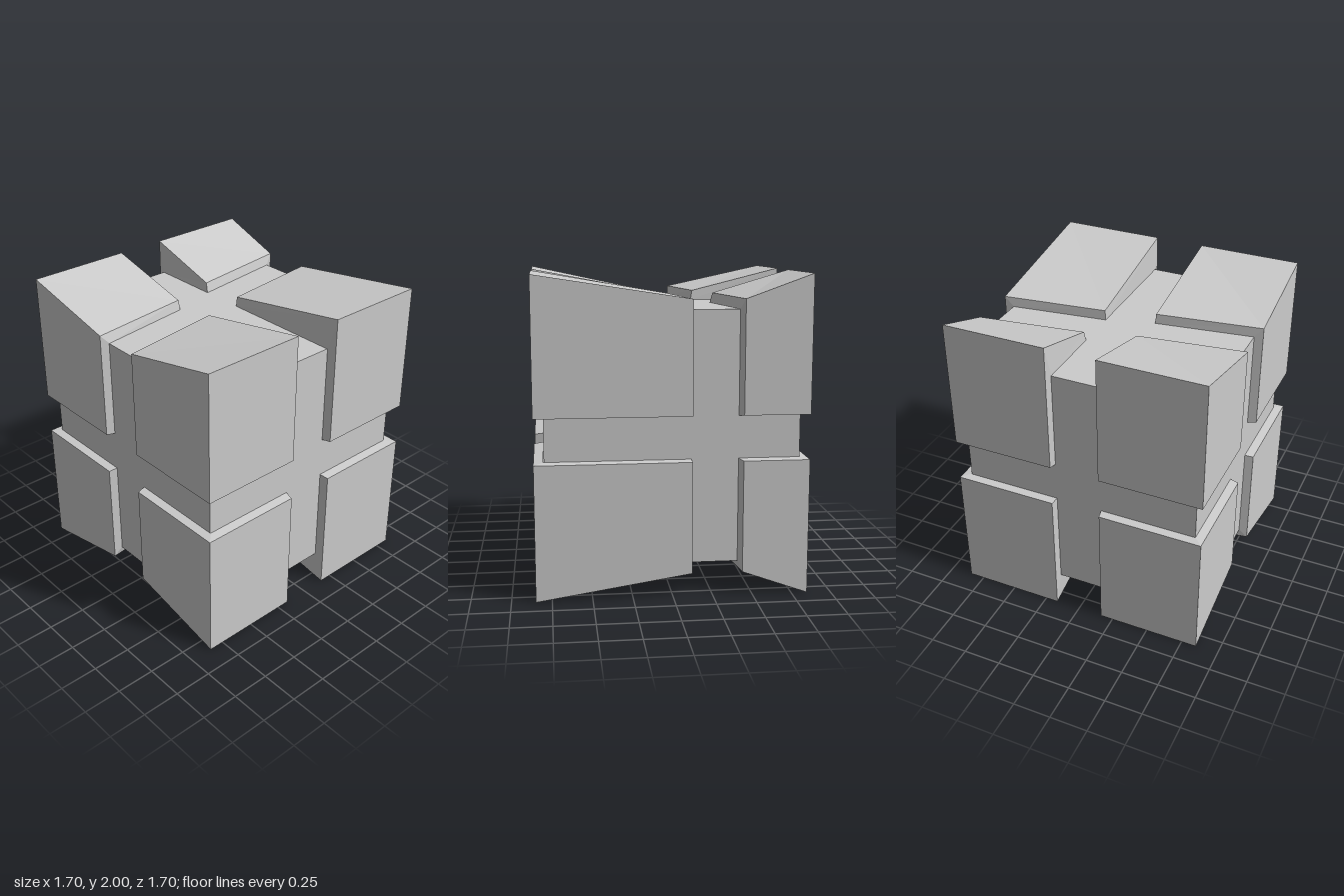
import * as THREE from 'three';

// quads of a block in the (+x, +y, +z) octant, counter-clockwise from outside
const FACES = [
  [4, 2, 0, 1], [2, 5, 3, 0], [0, 3, 6, 1],   // front, side and sloped top
  [4, 1, 8, 7], [1, 6, 12, 8],                // wall of the upright groove
  [3, 5, 11, 10], [6, 3, 10, 12],             // wall of the skewed groove
  [2, 4, 7, 9], [5, 2, 9, 11],                // wall of the level groove
];

// zSide / zMid: groove edge at the outer side and near the middle;
// cSide / cMid: the same edge where it meets the core
function blockGeometry(sx, sy, sz, { zSide, zMid, cSide, cMid }) {
  const s = 0.85, c = 0.79, g = 0.165, gc = 0.155;
  const top = 1, low = 0.85, h = 0.142, hc = 0.134, ct = 0.785;
  const p = [
    [sx * s, top, sz * s], [sx * g, top, sz * s], [sx * s, h, sz * s],
    [sx * s, low, zSide], [sx * g, h, sz * s], [sx * s, h, zSide],
    [sx * 0.16, low, zMid],
    [sx * gc, hc, sz * c], [sx * gc, ct, sz * c], [sx * c, hc, sz * c],
    [sx * c, ct, cSide], [sx * c, hc, cSide], [sx * gc, ct, cMid],
  ].map(([x, y, z]) => [x, 1 + sy * y, z]);

  const flip = sx * sy * sz < 0;
  const positions = [];
  for (const face of FACES) {
    const [a, b, d, e] = flip ? [...face].reverse() : face;
    for (const i of [a, b, d, a, d, e]) positions.push(...p[i]);
  }
  const geo = new THREE.BufferGeometry();
  geo.setAttribute('position', new THREE.Float32BufferAttribute(positions, 3));
  geo.computeVertexNormals();
  return geo;
}

export function createModel() {
  const group = new THREE.Group();
  group.name = 'groovedCube';
  const grey = new THREE.MeshStandardMaterial({ color: 0xcccccc });
  grey.name = 'light grey';

  // core cube seen at the bottom of the grooves
  const core = new THREE.Mesh(new THREE.BoxGeometry(1.585, 1.58, 1.582), grey);
  core.name = 'core';
  core.position.set(-0.001, 0.995, -0.005);
  group.add(core);

  // the four columns of blocks, each with its own cut from the skewed groove
  const columns = [
    { name: 'frontLeft', sx: 1, sz: 1, zSide: -0.12, zMid: -0.034, cSide: -0.116, cMid: -0.036 },
    { name: 'frontRight', sx: -1, sz: 1, zSide: 0.153, zMid: 0.056, cSide: 0.14, cMid: 0.052 },
    { name: 'backLeft', sx: 1, sz: -1, zSide: -0.435, zMid: -0.342, cSide: -0.411, cMid: -0.325 },
    { name: 'backRight', sx: -1, sz: -1, zSide: -0.161, zMid: -0.251, cSide: -0.15, cMid: -0.239 },
  ];
  for (const col of columns) {
    for (const sy of [1, -1]) {
      const block = new THREE.Mesh(blockGeometry(col.sx, sy, col.sz, col), grey);
      block.name = col.name + (sy > 0 ? 'UpperBlock' : 'LowerBlock');
      group.add(block);
    }
  }
  return group;
}
